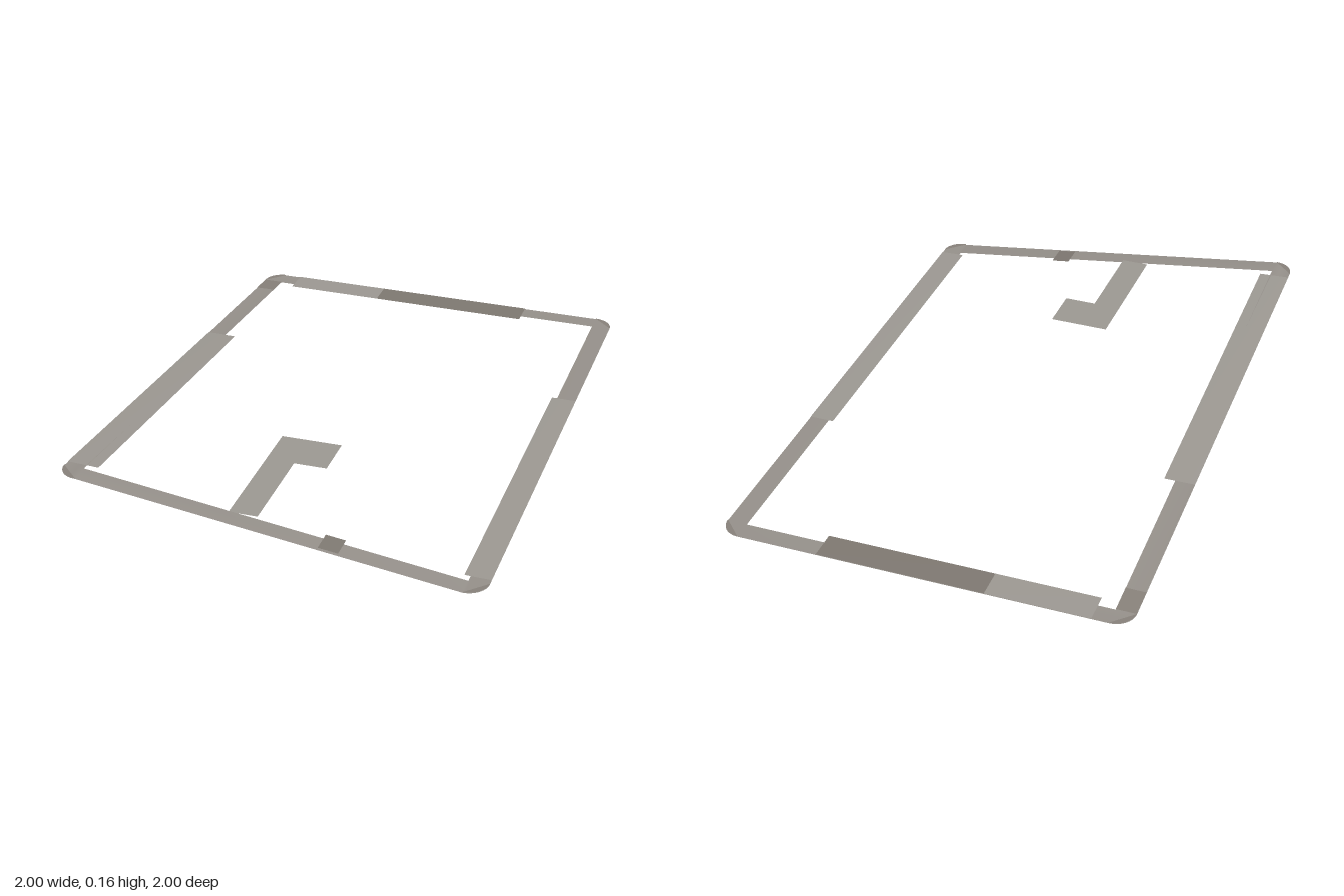
import * as THREE from 'three';

// Plan is laid out on long axis u and short axis v, then turned 45 degrees.
const U = 0.793, V = 0.538, R = 0.058; // inner half sizes, border width
const LIFT = 0.002; // keeps the darker patches clear of the border below
const LIGHT = 0x9d9993, MID = 0x96918b, SHADE = 0x88827b, DARK = 0x7f7972;

// Bilinear height between the four corners, level at each corner.
function heightAt(u, v) {
  const s = THREE.MathUtils.clamp((u + U) / (2 * U), 0, 1);
  const t = THREE.MathUtils.clamp((v + V) / (2 * V), 0, 1);
  const back = THREE.MathUtils.lerp(0.162, 0.008, s);
  const front = THREE.MathUtils.lerp(0.015, 0, s);
  return THREE.MathUtils.lerp(back, front, t);
}

const polygon = (points) => new THREE.Shape(points.map(([u, v]) => new THREE.Vector2(u, -v)));
const rect = (u0, u1, v0, v1) => polygon([[u0, v0], [u0, v1], [u1, v1], [u1, v0]]);

export function createModel() {
  const model = new THREE.Group();

  // Thin sheet draped over the height rule with an offset, or kept level.
  function sheet(name, color, shape, { lift = 0, level } = {}) {
    const geometry = new THREE.ShapeGeometry(shape, 8);
    const p = geometry.attributes.position;
    for (let i = 0; i < p.count; i++) {
      const u = p.getX(i), v = -p.getY(i);
      p.setXYZ(i, (u + v) * Math.SQRT1_2, level ?? heightAt(u, v) + lift, (v - u) * Math.SQRT1_2);
    }
    geometry.computeVertexNormals();
    const material = new THREE.MeshStandardMaterial({ color, side: THREE.DoubleSide });
    const mesh = new THREE.Mesh(geometry, material);
    mesh.name = name;
    model.add(mesh);
  }

  // Border strip with rounded outer corners and square inner corners
  const border = new THREE.Shape();
  [[U, V], [-U, V], [-U, -V], [U, -V]].forEach(([x, y], i) => {
    const start = i * Math.PI / 2, end = start + Math.PI / 2;
    border.absarc(x, y, R, start, end, false);

    // Darker rounded corner patch
    const corner = new THREE.Shape();
    corner.moveTo(x, y);
    corner.absarc(x, y, R, start, end, false);
    corner.closePath();
    sheet('cornerPatch', SHADE, corner, { lift: LIFT });
  });
  border.closePath();
  border.holes.push(rect(-U, U, -V, V));
  sheet('border', MID, border);
  sheet('backCornerPatch', SHADE, rect(0.71, U, -V - R, -V), { lift: LIFT });

  // Wider stretches along the inside of three sides
  sheet('backLedge', LIGHT, rect(-0.771, 0.264, -V - R, -0.506), { lift: LIFT });
  sheet('frontLedge', LIGHT, rect(-0.775, 0.262, 0.523, V + R), { lift: LIFT });
  sheet('endLedge', LIGHT, rect(0.765, U + R, -0.49, -0.19), { lift: LIFT });
  sheet('darkEndLedge', DARK, rect(0.765, U + R, -0.19, 0.3), { lift: LIFT });

  // Small dark patch across the raised short side
  sheet('smallTab', DARK, rect(-0.843, -0.775, 0.144, 0.2), { lift: LIFT });

  // Level L-shaped arm reaching inward
  sheet('hookedArm', LIGHT, polygon([
    [-U, -0.122], [-U, -0.04], [-0.5, -0.04], [-0.5, 0.055], [-0.365, 0.055], [-0.365, -0.122],
  ]), { level: 0.102 });

  return model;
}
